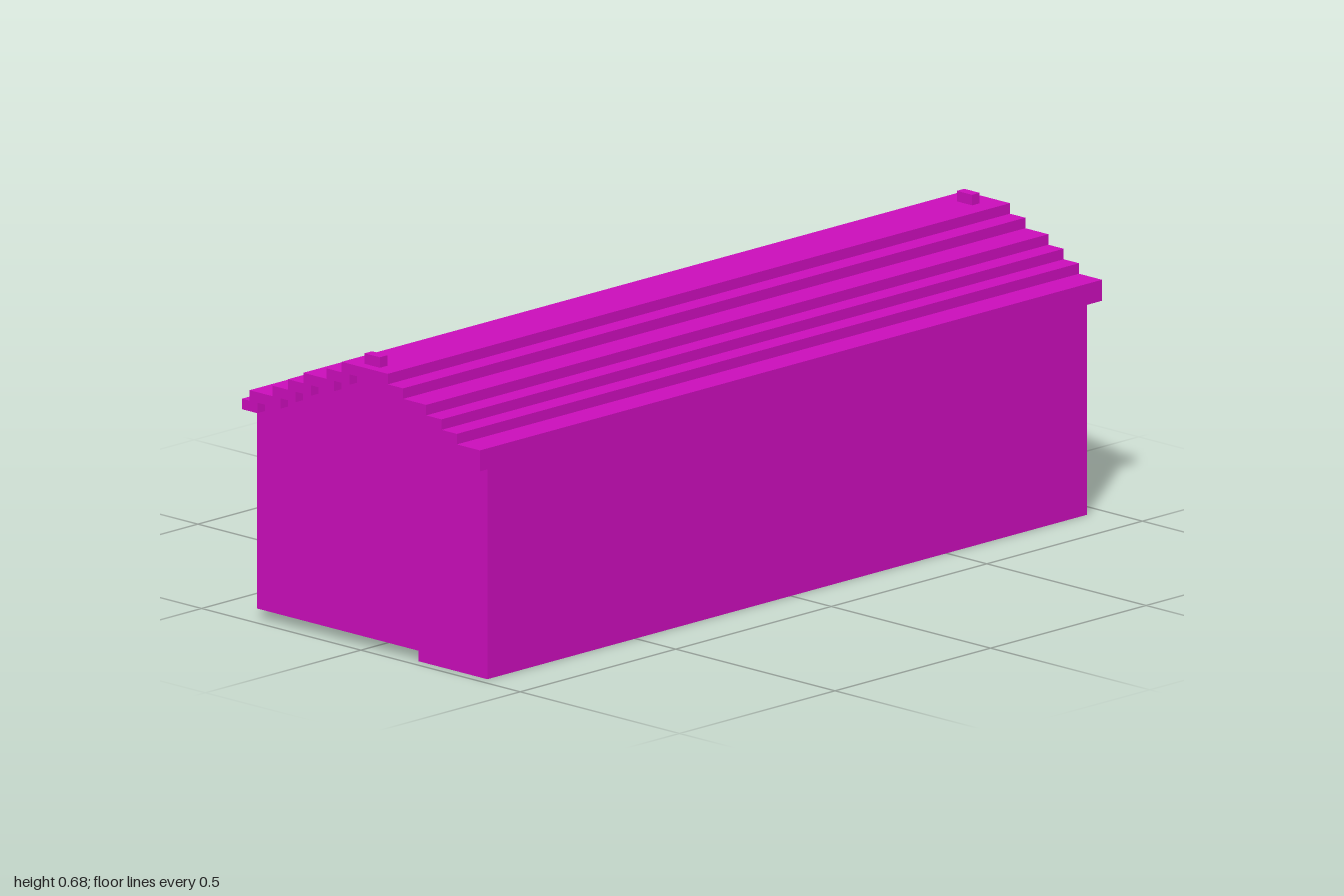
import * as THREE from 'three';

const U = 2 / 83;       // horizontal step
const V = 0.02446;      // vertical step
const HALF = 15.5 * U;  // half depth

// Stepped outline from [run, height] pairs, going from front to back
function steps(start, runs) {
  const pts = [];
  let o = start;
  for (const [n, h] of runs) {
    pts.push(new THREE.Vector2(o * U - HALF, h * V));
    o += n;
    pts.push(new THREE.Vector2(o * U - HALF, h * V));
  }
  return pts;
}

export function createModel() {
  const group = new THREE.Group();
  const magenta = new THREE.MeshStandardMaterial({ color: 0xc90db9 });

  const add = (name, geo) => {
    const mesh = new THREE.Mesh(geo, magenta);
    mesh.name = name;
    group.add(mesh);
  };
  // Block in grid steps: x from the left edge, y up, d from front to back
  const block = (name, x0, x1, y0, y1, d0, d1) => {
    const geo = new THREE.BoxGeometry((x1 - x0) * U, (y1 - y0) * V, (d1 - d0) * U);
    geo.translate((x0 + x1) / 2 * U - 1, (y0 + y1) / 2 * V, HALF - (d0 + d1) / 2 * U);
    add(name, geo);
  };
  // Side profile extruded along x
  const slab = (name, pts, x0, x1) => {
    const geo = new THREE.ExtrudeGeometry(new THREE.Shape(pts), { depth: (x1 - x0) * U, bevelEnabled: false });
    geo.rotateY(Math.PI / 2);
    geo.translate(x0 * U - 1, 0, 0);
    add(name, geo);
  };

  // Stepped roof shell
  const top = [[3, 22], [2, 23], [2, 24], [3, 25], [2, 26], [6, 27], [2, 26], [3, 25], [2, 24], [2, 23], [3, 22], [1, 21]];
  const inner = [[3, 21], [2, 22], [2, 23], [3, 24], [2, 25], [4, 26], [2, 25], [3, 24], [2, 23], [2, 22], [3, 21]];
  const under = [[1, 20], ...inner, [2, 20]];
  slab('roof', [...steps(0, top), ...steps(0, under).reverse()], 0, 83);

  // Gable ends, fitted between the long walls
  const gable = [
    new THREE.Vector2(U - HALF, V),
    ...steps(1, [...inner, [1, 20]]),
    new THREE.Vector2(29 * U - HALF, V),
  ];
  slab('rightGable', gable, 1, 2);
  slab('leftGable', gable, 80, 81);

  // Long walls, open underneath
  block('frontWall', 1, 81, 0, 20, 0, 1);
  block('backWall', 1, 81, 1, 20, 29, 30);
  block('gableFoot', 1, 2, 0, 1, 1, 9);

  // Ridge knobs
  for (const x of [1, 80]) block('ridgeKnob', x, x + 1, 27, 28, 14, 16);

  return group;
}
